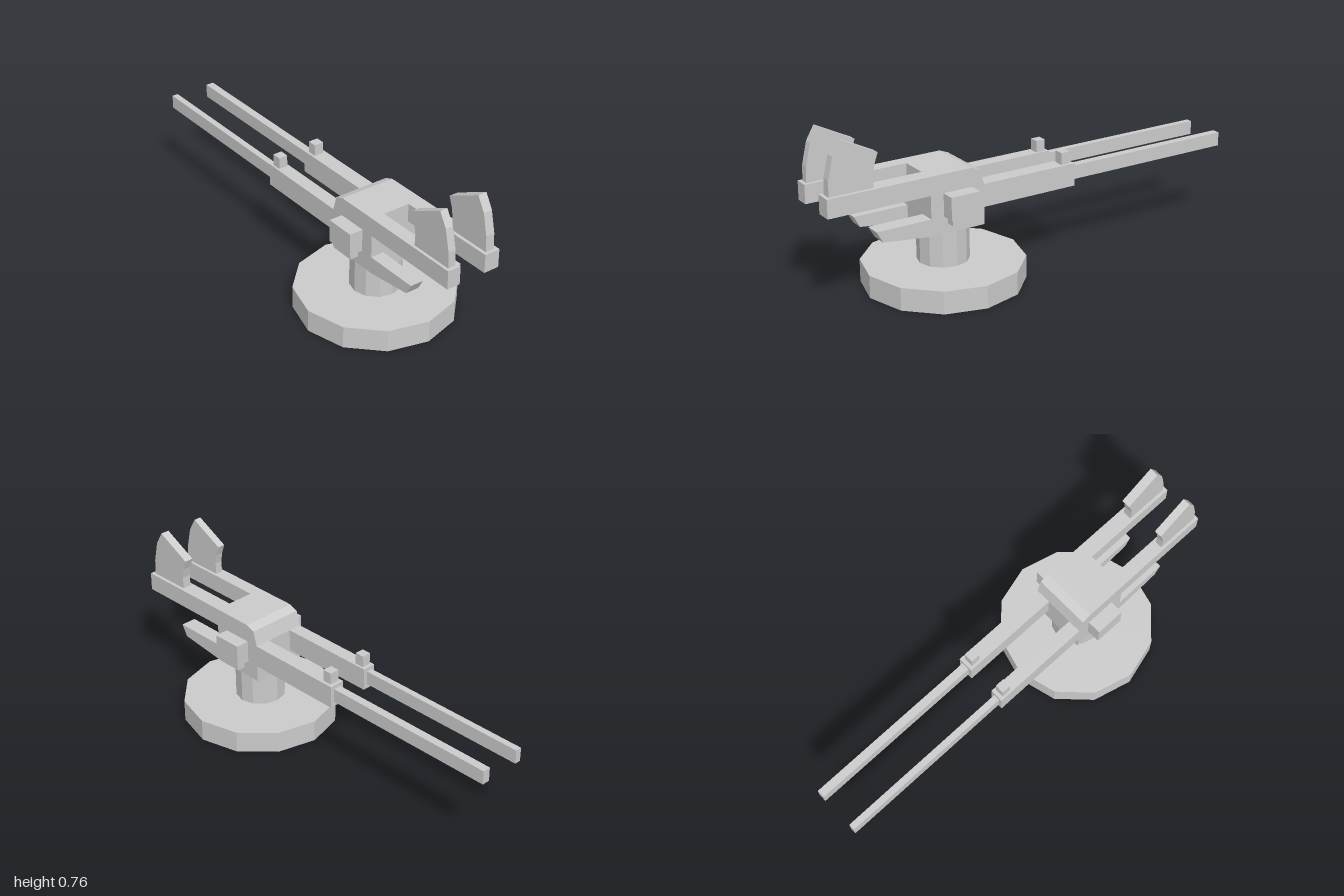
import * as THREE from 'three';

const material = new THREE.MeshStandardMaterial({ color: 0xcccccc, flatShading: true });

export function createModel() {
  const group = new THREE.Group();
  const add = (name, geometry) => {
    const mesh = new THREE.Mesh(geometry, material);
    mesh.name = name;
    group.add(mesh);
    return mesh;
  };
  // Box given by its extents on each axis
  const box = (name, [x0, x1], [y0, y1], [z0, z1]) =>
    add(name, new THREE.BoxGeometry(x1 - x0, y1 - y0, z1 - z0))
      .position.set((x0 + x1) / 2, (y0 + y1) / 2, (z0 + z1) / 2);
  // Side profile of [z, y] points, extruded across x
  const profile = (name, [x0, x1], points) => {
    const shape = new THREE.Shape(points.map(([z, y]) => new THREE.Vector2(z, y)));
    const geometry = new THREE.ExtrudeGeometry(shape, { depth: x1 - x0, bevelEnabled: false });
    geometry.rotateY(-Math.PI / 2).translate(x1, 0, 0);
    return add(name, geometry);
  };
  // Twelve-sided drum around the pivot axis
  const drum = (name, radius, y0, y1) =>
    add(name, new THREE.CylinderGeometry(radius, radius, y1 - y0, 12))
      .position.set(0, (y0 + y1) / 2, 0.407);

  // Pedestal
  drum('base', 0.354, 0, 0.101);
  drum('column', 0.113, 0.101, 0.268);

  // Central block with sloped rear top edge
  profile('body', [-0.13, 0.13], [
    [0.535, 0.268], [0.535, 0.53], [0.34, 0.53], [0.299, 0.514], [0.28, 0.447], [0.28, 0.268],
  ]);

  // Twin guns, one per side
  const guns = [
    { side: 'right', arm: [-0.13, -0.068], fin: [-0.117, -0.082], barrel: [-0.115, -0.086], sight: [-0.12, -0.078] },
    { side: 'left', arm: [0.058, 0.13], fin: [0.073, 0.114], barrel: [0.075, 0.112], sight: [0.07, 0.115] },
  ];
  for (const { side, arm, fin, barrel, sight } of guns) {
    box(`${side}UpperArm`, arm, [0.447, 0.53], [0.535, 1]);
    profile(`${side}LowerProng`, arm, [
      [0.535, 0.268], [0.76, 0.295], [0.788, 0.345], [0.535, 0.345],
    ]);
    profile(`${side}Magazine`, fin, [
      [0.985, 0.53], [0.982, 0.6], [0.96, 0.695], [0.924, 0.757],
      [0.762, 0.675], [0.778, 0.63], [0.787, 0.583], [0.785, 0.53],
    ]);
    box(`${side}Receiver`, arm, [0.345, 0.447], [-0.18, 0.28]);
    box(`${side}Barrel`, barrel, [0.367, 0.43], [-1, -0.18]);
    box(`${side}Sight`, sight, [0.447, 0.5], [-0.163, -0.12]);
  }

  // Trunnion blocks on the flanks
  for (const s of [-1, 1]) {
    const span = (a, b) => (s > 0 ? [a, b] : [-b, -a]);
    const side = s > 0 ? 'left' : 'right';
    box(`${side}Trunnion`, span(0.13, 0.193), [0.345, 0.447], [0.338, 0.475]);
    box(`${side}TrunnionFoot`, span(0.142, 0.18), [0.315, 0.345], [0.35, 0.463]);
  }
  return group;
}
